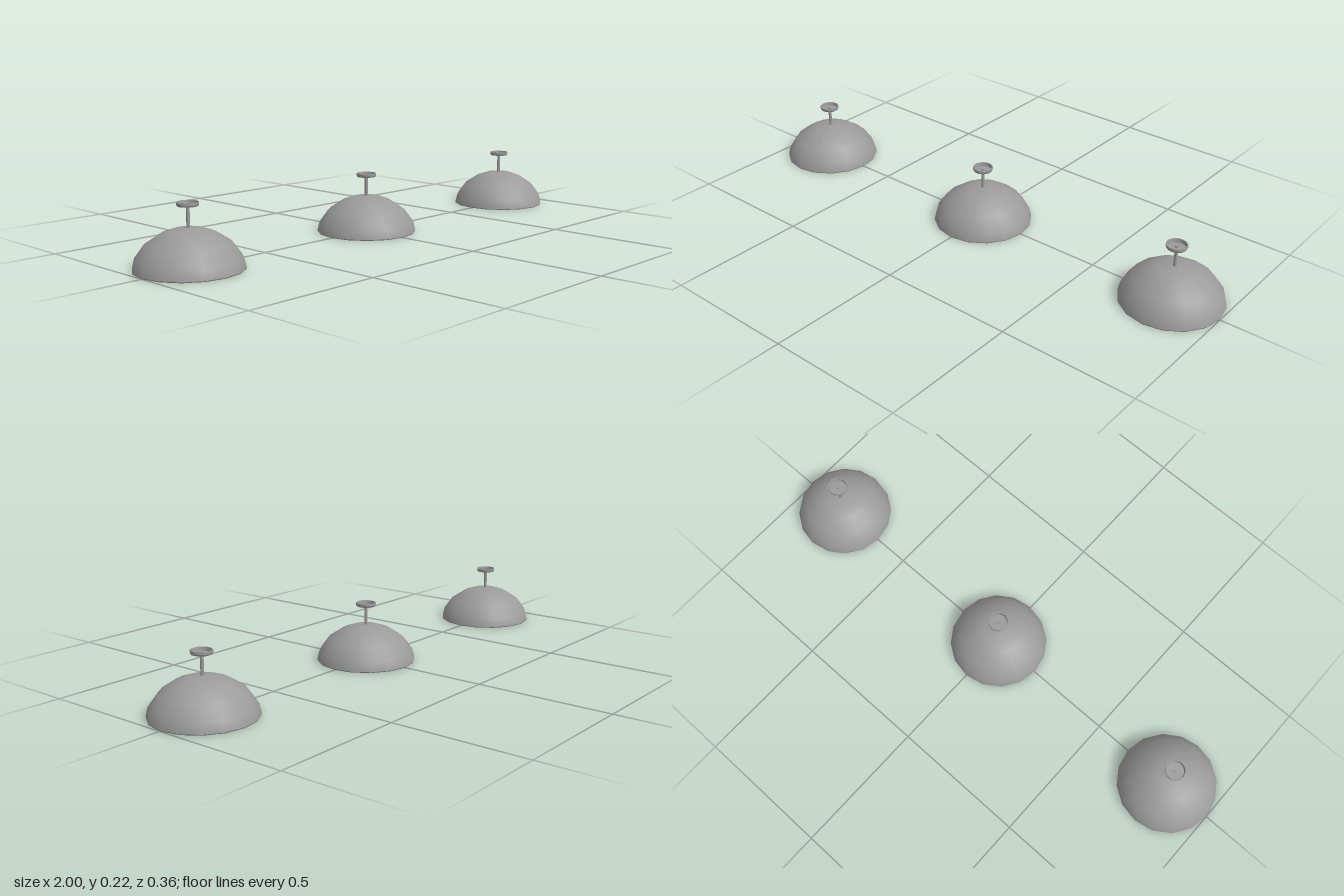
import * as THREE from 'three';

const grey = new THREE.MeshStandardMaterial({ color: 0x9b9b9b, side: THREE.DoubleSide });

function add(parent, name, geometry, y = 0) {
  const mesh = new THREE.Mesh(geometry, grey);
  mesh.name = name;
  mesh.position.y = y;
  parent.add(mesh);
  return mesh;
}

// Profile points are [radius, height], from bottom to top on the outside
const lathe = (points) =>
  new THREE.LatheGeometry(points.map(([r, y]) => new THREE.Vector2(r, y)), 16);

function createPendant() {
  const lamp = new THREE.Group();

  // Open dome shade, with a lip turned under at its lower edge
  add(lamp, 'shade', lathe([
    [0.182, 0.003], [0.174, 0.036], [0.141, 0.082],
    [0.09, 0.116], [0.05, 0.13], [0, 0.134],
  ]));
  add(lamp, 'shadeLip', lathe([[0.179, 0], [0.181, 0], [0.182, 0.003]]));

  // Bulb tucked under the crown of the shade
  add(lamp, 'bulb', new THREE.SphereGeometry(0.038, 16, 10), 0.1).scale.y = 0.85;

  // Stem from the bulb up through the floor of the cup
  add(lamp, 'stem', new THREE.CylinderGeometry(0.006, 0.006, 0.08, 8), 0.17);

  // Shallow ceiling cup, open at the top: separate bands keep its edges sharp
  const cup = new THREE.Group();
  cup.name = 'ceilingCup';
  lamp.add(cup);
  add(cup, 'cupFloor', lathe([[0, 0.204], [0.034, 0.204]]));
  add(cup, 'cupBevel', lathe([[0.034, 0.204], [0.0365, 0.209]]));
  add(cup, 'cupWall', lathe([[0.0365, 0.209], [0.0365, 0.217]]));
  add(cup, 'cupRim', lathe([[0.0365, 0.217], [0.033, 0.217]]));
  add(cup, 'cupInnerWall', lathe([[0.033, 0.217], [0.031, 0.204]]));
  return lamp;
}

export function createModel() {
  const model = new THREE.Group();
  model.name = 'pendantLamps';
  ['rightLamp', 'middleLamp', 'leftLamp'].forEach((name, i) => {
    const lamp = createPendant();
    lamp.name = name;
    lamp.position.x = (i - 1) * 0.818;
    model.add(lamp);
  });
  return model;
}
